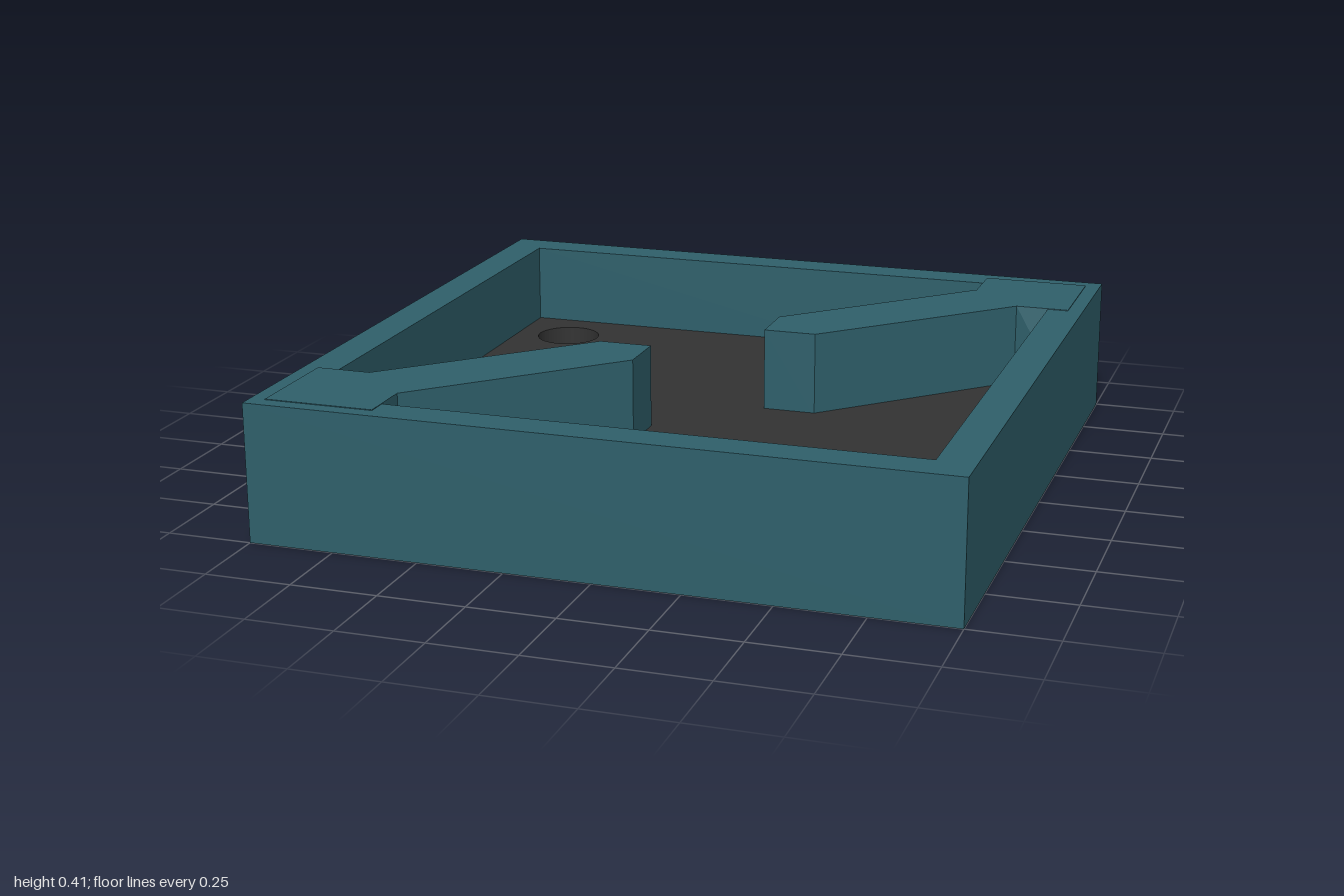
import * as THREE from 'three';

const HEIGHT = 0.405, RIM = 0.403, FLOOR = 0.16, BASE = 0.04;
const INNER = 0.892; // half width of the recess
const HOLE = { x: -0.72, z: -0.71, r: 0.1 };

const teal = new THREE.MeshStandardMaterial({ color: 0x2f606b });
const dark = new THREE.MeshStandardMaterial({ color: 0x333333 });
const grey = new THREE.MeshStandardMaterial({ color: 0xcccccc });

// Outline from [x, z] points, drawn in the plan (shape y = -z)
const outline = (points) => new THREE.Shape(points.map(([x, z]) => new THREE.Vector2(x, -z)));
const square = (h) => outline([[-h, h], [h, h], [h, -h], [-h, -h]]);

// Upright prism of a plan outline between two heights
function prism(shape, bottom, top) {
  const geometry = new THREE.ExtrudeGeometry(shape, { depth: top - bottom, bevelEnabled: false, curveSegments: 32 });
  return geometry.rotateX(-Math.PI / 2).translate(0, bottom, 0);
}

export function createModel() {
  const model = new THREE.Group();
  model.name = 'tray';
  const add = (name, geometry, material) => {
    const mesh = new THREE.Mesh(geometry, material);
    mesh.name = name;
    model.add(mesh);
    return mesh;
  };

  // Square frame of walls around the recess
  const frame = square(1);
  frame.holes.push(square(INNER));
  add('walls', prism(frame, 0, RIM), teal);

  // Closed underside
  add('base', prism(square(INNER), 0, BASE), teal);

  // Dark floor with a round hole near the back corner
  const floor = square(INNER);
  floor.holes.push(new THREE.Path().absarc(HOLE.x, -HOLE.z, HOLE.r, 0, Math.PI * 2, true));
  add('floor', prism(floor, BASE, FLOOR), dark);

  // Pale disc at the bottom of the hole
  const disc = new THREE.CircleGeometry(HOLE.r, 48).rotateX(-Math.PI / 2);
  add('holeBottom', disc, grey).position.set(HOLE.x, BASE + 0.005, HOLE.z);

  // Diagonal arm growing out of a corner, its foot flared where it meets the walls
  const arm = prism(outline([
    [-0.133, 0.133], [-0.133, 0.29], [-0.636, 0.795], [-0.636, 0.955],
    [-0.955, 0.955], [-0.955, 0.636], [-0.795, 0.636], [-0.29, 0.133],
  ]), FLOOR - 0.01, HEIGHT);
  const p = arm.attributes.position;
  const near = (a, b) => Math.abs(a - b) < 0.001;
  for (let i = 0; i < p.count; i++) {
    if (p.getY(i) > FLOOR) continue;
    if (near(p.getX(i), -0.636) && near(p.getZ(i), 0.955)) p.setX(i, -0.59);
    else if (near(p.getX(i), -0.955) && near(p.getZ(i), 0.636)) p.setZ(i, 0.59);
  }
  const flatArm = arm.index ? arm.toNonIndexed() : arm;
  flatArm.computeVertexNormals();
  add('frontRightArm', flatArm, teal);
  add('backLeftArm', flatArm, teal).rotation.y = Math.PI;

  return model;
}
